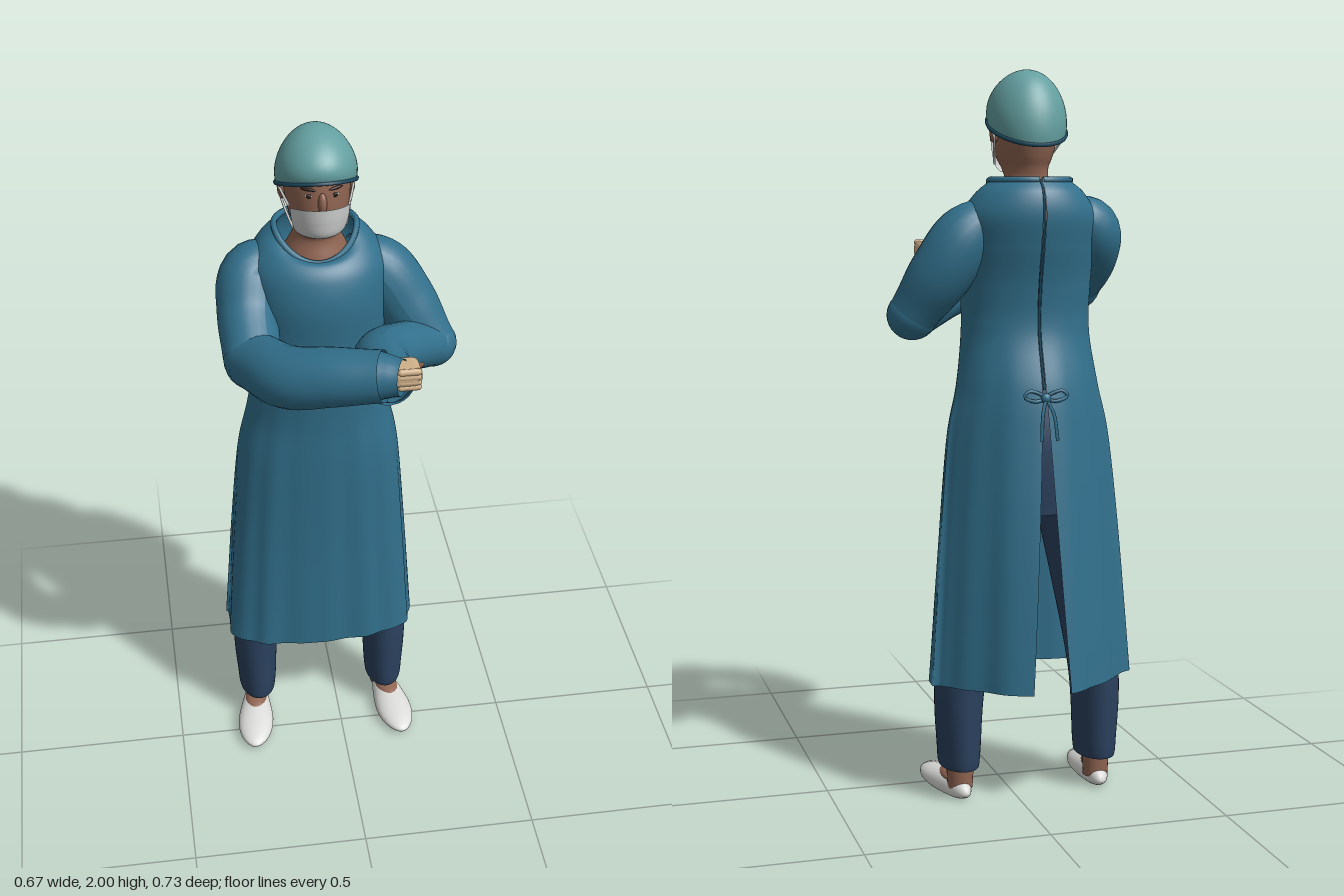
import * as THREE from 'three';
import { ParametricGeometry } from 'three/addons/geometries/ParametricGeometry.js';
import { RoundedBoxGeometry } from 'three/addons/geometries/RoundedBoxGeometry.js';

const CX = -0.05; // body centre line
const V = (x, y, z) => new THREE.Vector3(x, y, z);
const material = (name, color, double) => {
  const m = new THREE.MeshStandardMaterial({ color });
  m.name = name;
  if (double) m.side = THREE.DoubleSide;
  return m;
};

// Smooth value of column k in a list of rows, t in 0..1
function sample(rows, k, t) {
  const f = t * (rows.length - 1), i = Math.min(Math.floor(f), rows.length - 2), s = f - i;
  const at = j => rows[Math.max(0, Math.min(rows.length - 1, j))][k];
  const [a, b, c, d] = [at(i - 1), at(i), at(i + 1), at(i + 2)];
  return b + 0.5 * s * (c - a + s * (2 * a - 5 * b + 4 * c - d + s * (3 * (b - c) + d - a)));
}

// Skin over elliptical rings [y, cx, cz, rx, rz]; angle 0 faces the front
function loft(rings, { span = () => Math.PI, warp, around = 48, up = 40 } = {}) {
  return new ParametricGeometry((u, v, p) => {
    const [y, cx, cz, rx, rz] = [0, 1, 2, 3, 4].map(k => sample(rings, k, v));
    const a = (2 * u - 1) * span(y);
    p.set(cx + rx * Math.sin(a), y, cz + rz * Math.cos(a));
    if (warp) warp(p, a, v, cx, cz, rz);
  }, around, up);
}

// Tube whose radius follows a list along its path
function limb(points, radii, segs = 24) {
  const path = new THREE.CatmullRomCurve3(points.map(p => V(...p)));
  const g = new THREE.TubeGeometry(path, segs, 1, 24);
  const pos = g.attributes.position, p = V(0, 0, 0), rows = radii.map(r => [r]);
  for (let i = 0; i < pos.count; i++) {
    const t = Math.floor(i / 25) / segs, c = path.getPointAt(t);
    p.fromBufferAttribute(pos, i).sub(c).multiplyScalar(sample(rows, 0, t)).add(c);
    pos.setXYZ(i, p.x, p.y, p.z);
  }
  g.computeVertexNormals();
  return g;
}
const cord = (points, r, closed = false) =>
  new THREE.TubeGeometry(new THREE.CatmullRomCurve3(points, closed), points.length * 5, r, 6, closed);

export function createModel() {
  const model = new THREE.Group();
  const gown = material('gown blue', 0x32708c, true), trim = material('dark blue trim', 0x1d4a60);
  const capMat = material('cap teal', 0x649fa0, true), navy = material('trouser navy', 0x2b415e, true);
  const skin = material('brown skin', 0x906552), white = material('shoe white', 0xdcdcda);
  const maskMat = material('mask grey', 0xcbcccc, true), tan = material('glove tan', 0xcfb089);
  const dark = material('eye dark', 0x2a1c18);
  const add = (name, geo, mat, x = 0, y = 0, z = 0) => {
    const m = new THREE.Mesh(geo, mat);
    m.name = name;
    m.position.set(x, y, z);
    model.add(m);
    return m;
  };
  const blob = (name, mat, x, y, z, sx, sy, sz) => {
    const m = add(name, new THREE.SphereGeometry(1, 24, 16), mat, x, y, z);
    m.scale.set(sx, sy, sz);
    return m;
  };

  // Gown: flared skirt with folds, flat in front, drawn to a point at the open back
  const gownRings = [
    [0.335, CX, -0.185, 0.283, 0.183], [0.7, CX, -0.165, 0.257, 0.168], [1.0, CX, -0.142, 0.23, 0.157],
    [1.15, CX, -0.128, 0.2, 0.148], [1.3, CX, -0.1, 0.18, 0.132], [1.42, CX, -0.1, 0.182, 0.137],
    [1.53, CX, -0.11, 0.187, 0.152], [1.61, CX, -0.126, 0.186, 0.15], [1.665, CX, -0.136, 0.15, 0.13],
    [1.69, CX, -0.136, 0.11, 0.103]];
  const slit = y => Math.PI - (y < 1.15 ? 0.025 + 0.16 * (1.15 - y) / 0.815 : 0.025);
  const collarLift = a => 0.016 - 0.066 * Math.pow(Math.max(0, Math.cos(a)), 1.5);
  const gownWarp = (p, a, v, cx, cz, rz) => {
    const low = Math.max(0, 1 - 2.2 * v), c = Math.cos(a);
    const depth = Math.sign(c) * Math.pow(Math.abs(c), c > 0 ? 1 - 0.6 * low : 1 + 1.6 * low);
    const fold = 1 + 0.014 * low * (Math.cos(11 * a + 1) + 0.6 * Math.sin(17 * a));
    p.x = cx + (p.x - cx) * fold;
    p.z = cz + rz * depth * fold;
    const top = Math.max(0, (v - 0.72) / 0.28);
    p.y += top * top * collarLift(a);
  };
  add('gown', loft(gownRings, { span: slit, warp: gownWarp, around: 140, up: 60 }), gown);
  const collar = [];
  for (let i = 0; i <= 24; i++) {
    const a = (i / 12 - 1) * 3.1;
    collar.push(V(CX + 0.11 * Math.sin(a), 1.69 + collarLift(a), -0.136 + 0.103 * Math.cos(a)));
  }
  add('collarBinding', cord(collar, 0.009), gown);
  const backEdge = gownRings.slice(3).map(([y, x, cz, , rz]) => V(x, y + (y > 1.68 ? 0.016 : 0), cz - rz));
  add('backSeam', cord(backEdge, 0.004), trim);

  // Back tie: knot, two loops and hanging ends
  blob('tieKnot', gown, CX, 1.13, -0.29, 0.014, 0.014, 0.012);
  for (const s of [-1, 1]) {
    add('tieLoop', cord([V(CX, 1.13, -0.285), V(CX + s * 0.045, 1.15, -0.29), V(CX + s * 0.06, 1.135, -0.29),
      V(CX + s * 0.03, 1.122, -0.29)], 0.005, true), gown);
    add('tieEnd', cord([V(CX, 1.13, -0.29), V(CX + s * 0.015, 1.09, -0.312), V(CX + s * 0.022, 1.02, -0.325)], 0.005), gown);
  }

  // Clothes under the gown
  add('innerTop', loft([[0.8, CX, -0.13, 0.17, 0.1], [1.0, CX, -0.13, 0.17, 0.115], [1.25, CX, -0.1, 0.15, 0.11],
    [1.5, CX, -0.11, 0.16, 0.125], [1.6, CX, -0.13, 0.1, 0.09]]), navy);

  // Legs and shoes
  for (const s of [-1, 1]) {
    const X = d => CX + s * d;
    add('trouserLeg', loft([[0.09, X(0.2), -0.125, 0.054, 0.088], [0.13, X(0.2), -0.125, 0.058, 0.092],
      [0.33, X(0.196), -0.128, 0.069, 0.093], [0.6, X(0.15), -0.133, 0.078, 0.09], [0.9, X(0.09), -0.13, 0.085, 0.1]]), navy);
    add('ankle', new THREE.CylinderGeometry(0.042, 0.035, 0.13, 20), skin, X(0.2), 0.09, -0.14);
    const foot = new THREE.Group();
    foot.name = 'foot';
    foot.position.set(X(0.214), 0, -0.05);
    foot.rotation.y = s * 0.12;
    const shoe = new THREE.SphereGeometry(1, 32, 20), p = shoe.attributes.position;
    for (let i = 0; i < p.count; i++) {
      const [x, y, z] = [p.getX(i), p.getY(i), p.getZ(i)];
      const wide = 0.051 + 0.009 * Math.sin(2.4 * z);
      p.setXYZ(i, x * wide, y > 0 ? 0.02 + y * (0.038 - 0.012 * z) : 0.02 + Math.max(y, -0.6) * 0.033, z * 0.15);
    }
    shoe.computeVertexNormals();
    const shoeMesh = new THREE.Mesh(shoe, white);
    shoeMesh.name = 'shoe';
    const instep = new THREE.Mesh(new THREE.SphereGeometry(1, 24, 14), skin);
    instep.name = 'instep';
    instep.position.set(0, 0.045, -0.04);
    instep.scale.set(0.033, 0.02, 0.068);
    foot.add(shoeMesh, instep);
    model.add(foot);
  }

  // Right sleeve, folded across the chest
  add('rightUpperSleeve', limb([[-0.13, 1.615, -0.13], [-0.22, 1.582, -0.125], [-0.243, 1.5, -0.06], [-0.245, 1.425, 0.055]],
    [0.05, 0.084, 0.082, 0.078]), gown);
  blob('rightElbow', gown, -0.243, 1.42, 0.058, 0.079, 0.084, 0.079);
  add('rightForeSleeve', limb([[-0.245, 1.42, 0.06], [-0.165, 1.442, 0.19], [-0.06, 1.475, 0.255], [0.065, 1.5, 0.307]],
    [0.078, 0.083, 0.078, 0.068]), gown);
  add('rightCuff', limb([[0.045, 1.498, 0.298], [0.075, 1.502, 0.312], [0.108, 1.505, 0.328]], [0.064, 0.056, 0.048]), gown);

  // Left sleeve, elbow out to the side
  add('leftUpperSleeve', limb([[0.03, 1.615, -0.135], [0.115, 1.572, -0.135], [0.185, 1.47, -0.12], [0.262, 1.345, -0.075]],
    [0.05, 0.084, 0.085, 0.068]), gown);
  blob('leftElbow', gown, 0.262, 1.343, -0.073, 0.07, 0.068, 0.068);
  add('leftForeSleeve', limb([[0.262, 1.343, -0.073], [0.17, 1.385, 0.005], [0.095, 1.415, 0.09], [0.09, 1.44, 0.245]],
    [0.066, 0.07, 0.075, 0.068]), gown);
  add('leftCuff', limb([[0.09, 1.437, 0.225], [0.093, 1.446, 0.25], [0.098, 1.453, 0.272]], [0.066, 0.06, 0.052]), gown);
  const sleeveGap = blob('sleeveOpening', skin, 0.188, 1.362, 0.052, 0.055, 0.022, 0.022);
  sleeveGap.quaternion.setFromUnitVectors(V(1, 0, 0), V(-0.62, 0.38, 0.69).normalize());
  blob('wristOpening', tan, 0.151, 1.42, 0.18, 0.014, 0.014, 0.024);

  // Clasped hands
  add('rightHand', new RoundedBoxGeometry(0.08, 0.054, 0.084, 4, 0.02), tan, 0.119, 1.503, 0.302);
  add('leftHand', new RoundedBoxGeometry(0.05, 0.06, 0.06, 4, 0.018), tan, 0.105, 1.478, 0.268);
  for (let i = 0; i < 4; i++) {
    const f = add('finger', new THREE.CapsuleGeometry(0.009, 0.045, 4, 10), tan, 0.125, 1.48 + i * 0.015, 0.336);
    f.rotation.z = Math.PI / 2;
  }

  // Head and neck
  add('head', loft([[1.6, CX, -0.125, 0.105, 0.095], [1.645, CX, -0.125, 0.085, 0.08], [1.7, CX, -0.115, 0.062, 0.058],
    [1.735, CX, -0.095, 0.061, 0.08], [1.765, CX, -0.087, 0.073, 0.1], [1.8, CX, -0.09, 0.082, 0.108],
    [1.84, CX, -0.095, 0.087, 0.113], [1.88, CX, -0.1, 0.09, 0.114], [1.92, CX, -0.105, 0.09, 0.108],
    [1.96, CX, -0.105, 0.06, 0.07]]), skin);
  blob('nose', skin, CX, 1.842, 0.016, 0.012, 0.03, 0.016);

  // Soft cap, tucked in at a rim that drops toward the back
  const cap = new THREE.SphereGeometry(1, 48, 24, 0, Math.PI * 2, 0, Math.PI / 2), cp = cap.attributes.position;
  const capPoint = (x, y, z) => {
    const tuck = 1 - 0.07 * Math.pow(1 - y, 4);
    return V(CX + x * 0.113 * tuck, 2 - (1 - y) * (0.153 - 0.05 * z), -0.108 + z * 0.131 * tuck);
  };
  for (let i = 0; i < cp.count; i++) {
    const q = capPoint(cp.getX(i), cp.getY(i), cp.getZ(i));
    cp.setXYZ(i, q.x, q.y, q.z);
  }
  cap.computeVertexNormals();
  add('cap', cap, capMat);
  const rim = [];
  for (let i = 0; i < 24; i++) rim.push(capPoint(Math.sin(i * Math.PI / 12), 0, Math.cos(i * Math.PI / 12)));
  add('capBand', cord(rim, 0.006, true), trim);
  add('capUnderside', loft([[0, CX, -0.108, 0.104, 0.121], [0.001, CX, -0.108, 0.005, 0.005]],
    { up: 2, warp: p => { p.y = 1.847 + 0.4 * (p.z + 0.108); } }), capMat);

  // Face mask, narrower at the chin
  add('mask', loft([[1.728, CX, -0.088, 0.062, 0.08], [1.75, CX, -0.082, 0.073, 0.106],
    [1.79, CX, -0.084, 0.083, 0.117], [1.832, CX, -0.085, 0.087, 0.12]],
  { span: () => 1.12, warp: (p, a, v) => { p.y -= 0.016 * v * a * a; } }), maskMat);

  // Eyes, brows, ears and mask straps
  for (const s of [-1, 1]) {
    blob('eyeWhite', white, CX + s * 0.034, 1.862, 0.006, 0.011, 0.004, 0.004).rotation.y = s * 0.35;
    blob('iris', dark, CX + s * 0.034, 1.862, 0.009, 0.007, 0.006, 0.003);
    const brow = blob('brow', dark, CX + s * 0.036, 1.88, 0.006, 0.02, 0.004, 0.004);
    brow.rotation.set(0, s * 0.38, s * 0.08);
    blob('ear', skin, CX + s * 0.09, 1.832, -0.105, 0.012, 0.028, 0.019);
    add('maskStrap', cord([V(CX + s * 0.08, 1.812, -0.045), V(CX + s * 0.098, 1.84, -0.1), V(CX + s * 0.096, 1.82, -0.127),
      V(CX + s * 0.086, 1.785, -0.09), V(CX + s * 0.07, 1.75, -0.04)], 0.0035), maskMat);
  }
  return model;
}
